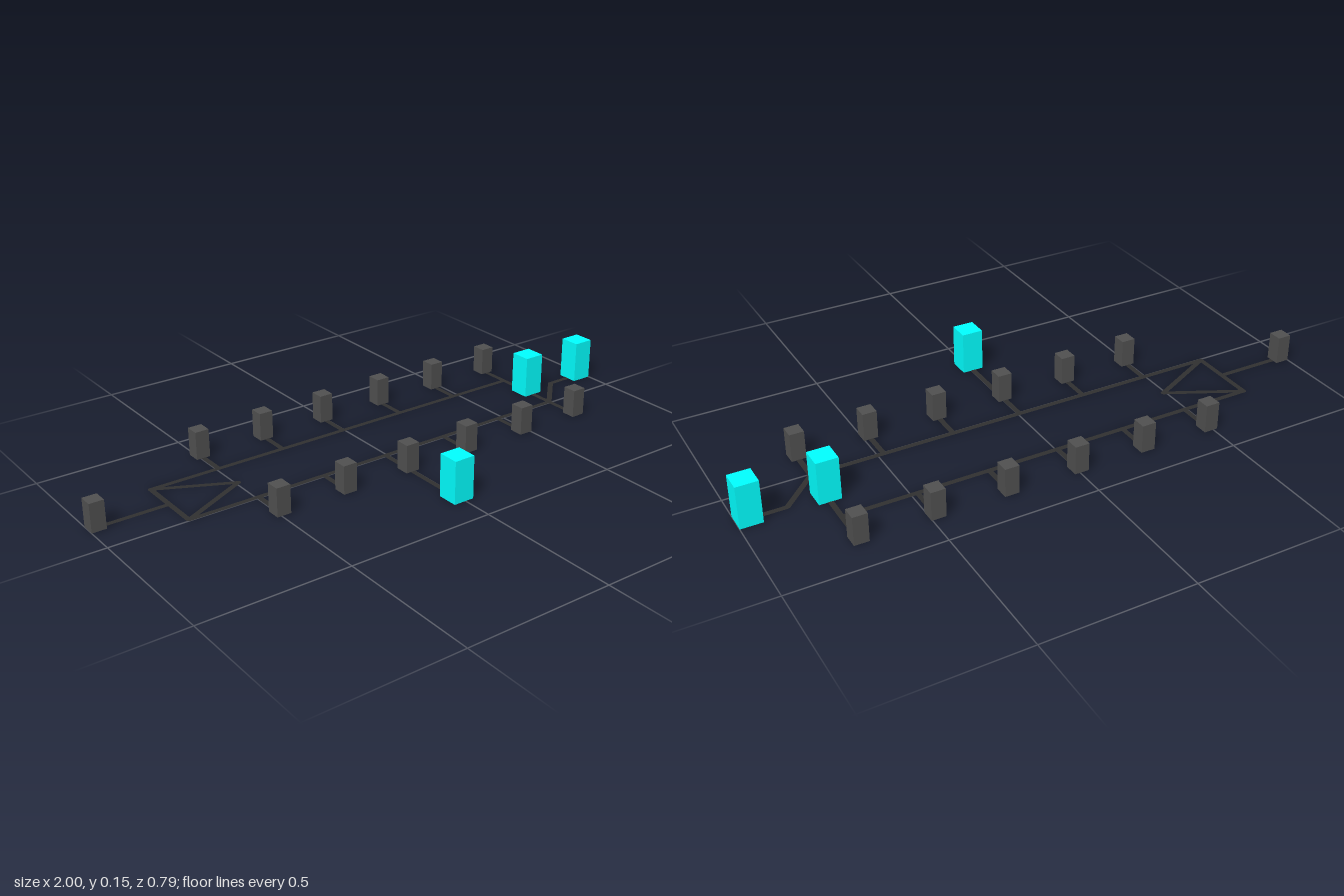
import * as THREE from 'three';

// The layout lives on a square grid: columns 0..8 along x, rows 0..3 along z
const STEP = 2 / 8.25;
const LINE_WIDTH = 0.018;
const LINE_Y = 0.0008;
const gx = (column) => -1 + (column + 0.1) * STEP;
const gz = (row) => (row - 1.525) * STEP;

const material = (color, side = THREE.FrontSide) =>
  new THREE.MeshStandardMaterial({ color, side });

export function createModel() {
  const model = new THREE.Group();
  const darkMat = material(0x505050);
  const cyanMat = material(0x00ffff);
  const lineMat = material(0x303030, THREE.DoubleSide);

  // Upright block standing on a grid point
  function addBlock(name, column, row, width, height, mat) {
    const block = new THREE.Mesh(new THREE.BoxGeometry(width, height, width), mat);
    block.position.set(gx(column), height / 2, gz(row));
    block.name = name;
    model.add(block);
  }

  // Flat ground line through grid points, with round joints at its points
  function addLine(name, points) {
    const line = new THREE.Group();
    line.name = name;
    const flat = points.map(([c, r]) => new THREE.Vector2(gx(c), gz(r)));
    flat.forEach((a, i) => {
      const joint = new THREE.Mesh(
        new THREE.CircleGeometry(LINE_WIDTH / 2, 12).rotateX(-Math.PI / 2), lineMat);
      joint.position.set(a.x, LINE_Y, a.y);
      joint.name = 'lineJoint';
      line.add(joint);
      if (i === flat.length - 1) return;
      const b = flat[i + 1];
      const geometry = new THREE.PlaneGeometry(a.distanceTo(b), LINE_WIDTH);
      const strip = new THREE.Mesh(geometry.rotateX(-Math.PI / 2), lineMat);
      strip.position.set((a.x + b.x) / 2, LINE_Y, (a.y + b.y) / 2);
      strip.rotation.y = -Math.atan2(b.y - a.y, b.x - a.x);
      strip.name = 'lineStrip';
      line.add(strip);
    });
    model.add(line);
  }

  // Two long rails joined at the right-hand end by the cross line
  addLine('backRail', [[1, 0.5], [7, 0.5]]);
  addLine('frontRail', [[1, 1.5], [7, 1.5]]);
  addLine('crossLine', [[7, 0], [7, 2]]);

  // Triangular arrow with the line leading into it
  addLine('arrowOutline', [[1, 0.5], [2, 1], [1, 1.5], [1, 0.5]]);
  addLine('entryLine', [[0, 1], [1, 1]]);

  // Rows of small dark blocks with short spurs to the rails
  for (let column = 2; column <= 7; column++) {
    addBlock('backBlock', column, 0, 0.2 * STEP, 0.4 * STEP, darkMat);
    addBlock('frontBlock', column, 2, 0.2 * STEP, 0.4 * STEP, darkMat);
    if (column < 7) {
      addLine('backSpur', [[column, 0], [column, 0.5]]);
      addLine('frontSpur', [[column, 1.5], [column, column === 4 ? 3 : 2]]);
    }
  }
  addBlock('entryBlock', 0, 1, 0.2 * STEP, 0.4 * STEP, darkMat);

  // Larger cyan blocks and the bent branch to the last one
  for (const [column, row] of [[4, 3], [7, 1], [8, 1]]) {
    addBlock('cyanBlock', column, row, 0.3 * STEP, 0.6 * STEP, cyanMat);
  }
  addLine('bentBranch', [[7, 1.5], [7.5, 1], [8, 1]]);

  return model;
}
